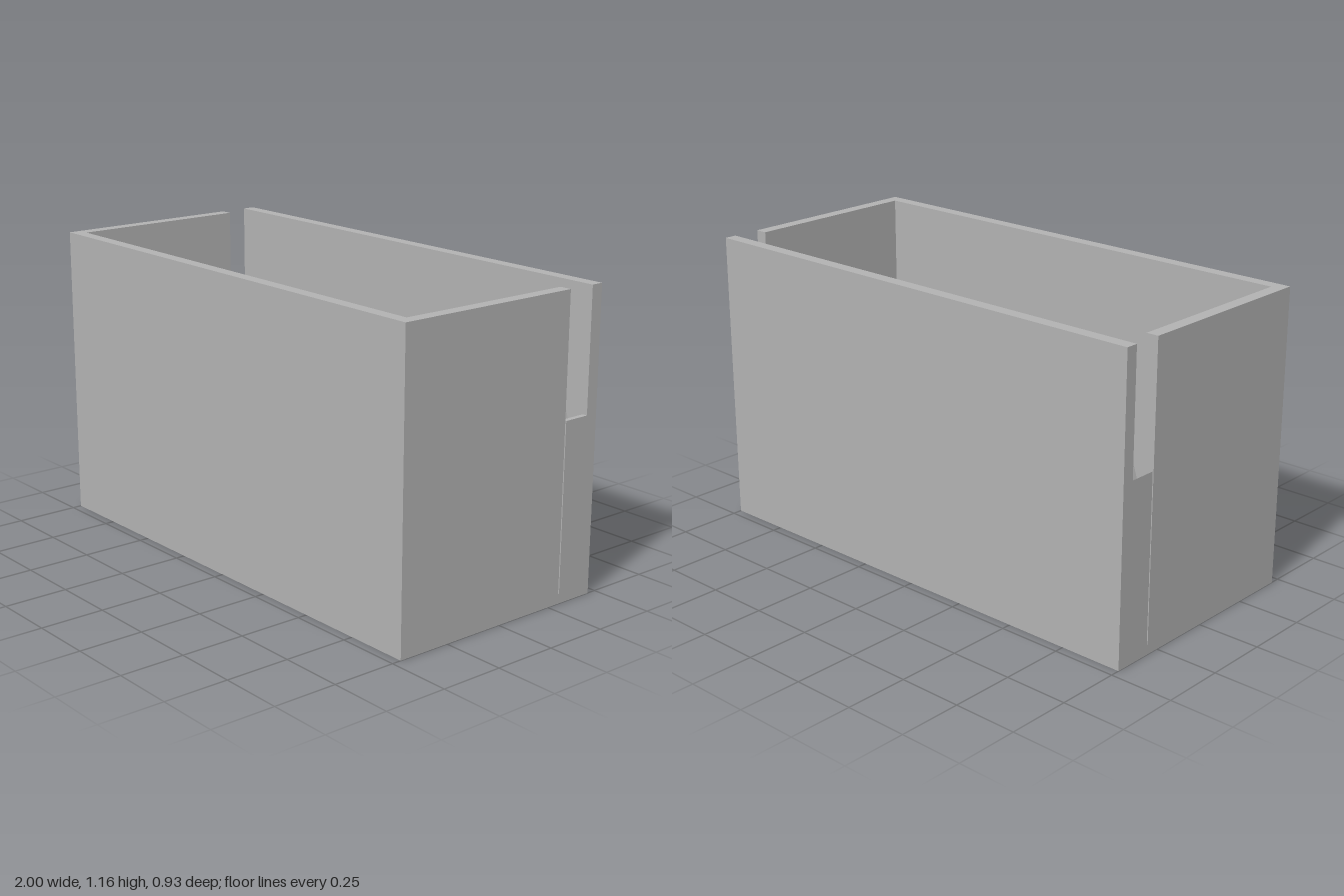
import * as THREE from 'three';

export function createModel() {
  const group = new THREE.Group();
  const grey = new THREE.MeshStandardMaterial({ color: 0xb2b2b2 });
  grey.name = 'grey plastic';

  // box spanning two corners
  const slab = (name, x0, x1, y0, y1, z0, z1) => {
    const mesh = new THREE.Mesh(new THREE.BoxGeometry(x1 - x0, y1 - y0, z1 - z0), grey);
    mesh.position.set((x0 + x1) / 2, (y0 + y1) / 2, (z0 + z1) / 2);
    mesh.name = name;
    group.add(mesh);
  };

  const H = 1.164, D = 0.463, T = 0.048, FLOOR = 0.04;
  slab('floor', -1, 1, 0, FLOOR, -D, D);
  slab('backWall', -1, 1, FLOOR, H, -D, -D + T);

  // front wall and both side walls as one U-shaped extrusion (plan: y = -z)
  const plan = new THREE.Shape();
  [[-1, -D], [1, -D], [1, 0.303], [1 - T, 0.303], [1 - T, -D + T],
    [-1 + T, -D + T], [-1 + T, 0.303], [-1, 0.303]]
    .forEach(([x, y], i) => (i ? plan.lineTo(x, y) : plan.moveTo(x, y)));
  const wallGeo = new THREE.ExtrudeGeometry(plan, { depth: H - FLOOR, bevelEnabled: false });
  wallGeo.rotateX(-Math.PI / 2);
  const walls = new THREE.Mesh(wallGeo, grey);
  walls.position.y = FLOOR;
  walls.name = 'frontAndSideWalls';
  group.add(walls);

  // toothed ledge in front of the back wall
  const TOP = 0.69, DEPTH = 0.08, COUNT = 20, PITCH = 2 / COUNT;
  const comb = new THREE.Shape();
  comb.moveTo(-1, FLOOR);
  comb.lineTo(1, FLOOR);
  comb.lineTo(1, TOP);
  for (let i = COUNT - 1; i >= 0; i--) {
    const x = -1 + i * PITCH;
    comb.lineTo(x + 0.08, TOP);
    comb.lineTo(x + 0.054, TOP - DEPTH);
    comb.lineTo(x + 0.027, TOP - DEPTH);
    comb.lineTo(x, TOP);
  }
  comb.closePath();
  const ledge = new THREE.Mesh(
    new THREE.ExtrudeGeometry(comb, { depth: 0.107, bevelEnabled: false }), grey);
  ledge.position.z = -D + T;
  ledge.name = 'toothedLedge';
  group.add(ledge);

  return group;
}
